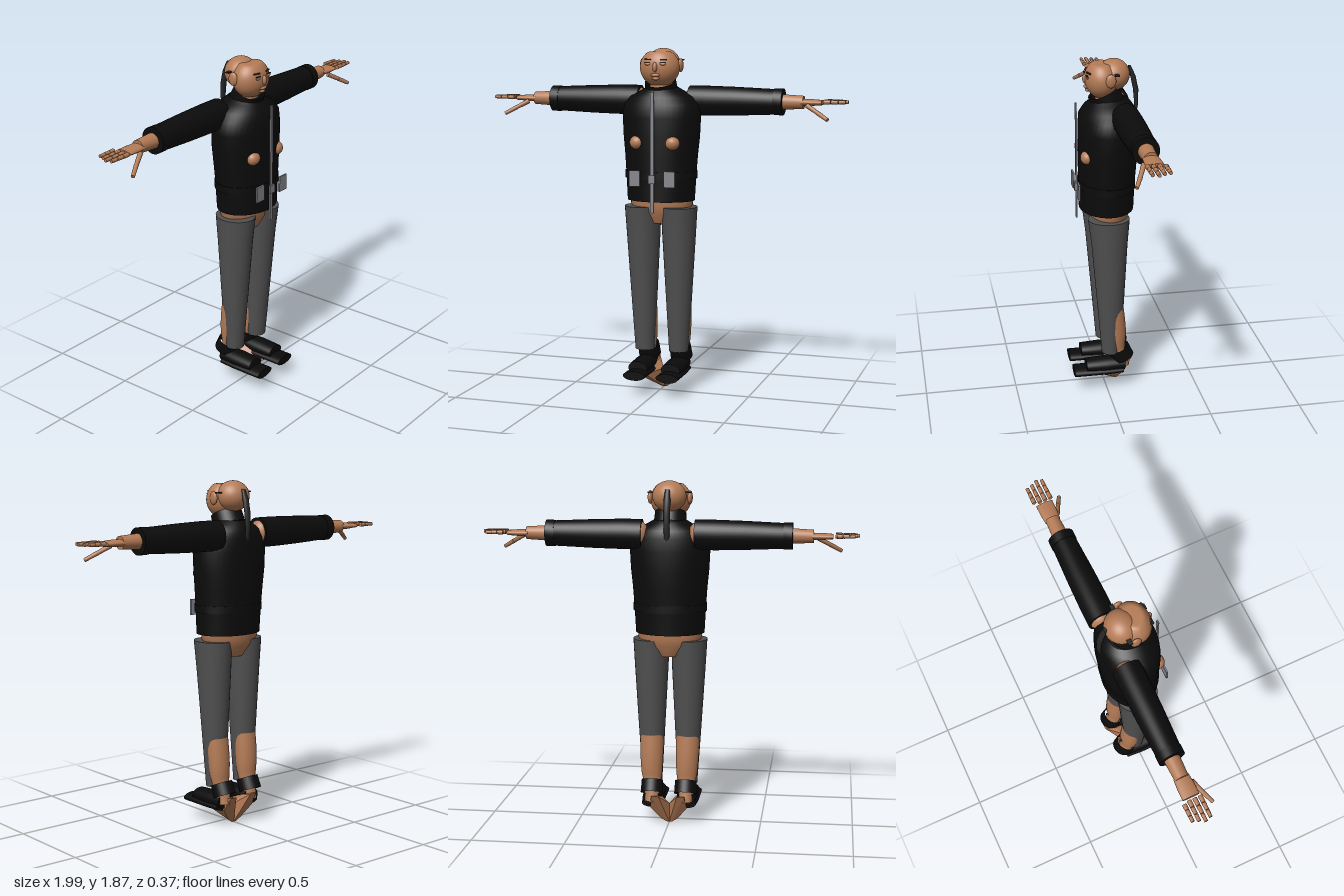
import * as THREE from 'three';
import { ConvexGeometry } from 'three/addons/geometries/ConvexGeometry.js';

const material = (name, color) => {
  const m = new THREE.MeshStandardMaterial({ color, side: THREE.DoubleSide });
  m.name = name;
  return m;
};

export function createModel() {
  const skin = material('skin', 0xb47b56);
  const black = material('black cloth', 0x0b0b0b);
  const grey = material('grey trousers', 0x505050);
  const metal = material('metal', 0x85858c);
  const hair = material('dark hair', 0x262626);
  const root = new THREE.Group();

  const add = (name, geo, mat, x = 0, y = 0, z = 0, parent = root) => {
    const mesh = new THREE.Mesh(geo, mat);
    mesh.name = name;
    mesh.position.set(x, y, z);
    parent.add(mesh);
    return mesh;
  };

  // Smooth stack of ellipses along y; each section is [y, x, z, rx, rz]
  const loft = (sections, sides = 32) => {
    const pos = [], idx = [];
    const ring = ([y, x, z, rx, rz]) => {
      for (let i = 0; i < sides; i++) {
        const a = (i / sides) * Math.PI * 2;
        pos.push(x + Math.sin(a) * rx, y, z + Math.cos(a) * rz);
      }
    };
    sections.forEach(ring);
    for (let j = 0; j < sections.length - 1; j++) {
      for (let i = 0; i < sides; i++) {
        const a = j * sides + i, b = j * sides + ((i + 1) % sides);
        idx.push(a, b, b + sides, a, b + sides, a + sides);
      }
    }
    // Flat end caps with their own vertices
    [sections[0], sections[sections.length - 1]].forEach((s, end) => {
      const start = pos.length / 3;
      ring(s);
      for (let i = 1; i < sides - 1; i++) {
        if (end) idx.push(start, start + i, start + i + 1);
        else idx.push(start, start + i + 1, start + i);
      }
    });
    const g = new THREE.BufferGeometry();
    g.setAttribute('position', new THREE.Float32BufferAttribute(pos, 3));
    g.setIndex(idx);
    g.computeVertexNormals();
    return g;
  };

  const ball = (rx, ry, rz) => new THREE.SphereGeometry(1, 28, 20).scale(rx, ry, rz);
  const box = (w, h, d) => new THREE.BoxGeometry(w, h, d);

  // Straight round rod between two points
  const rod = (name, a, b, r1, r2, mat) => {
    const p = new THREE.Vector3(...a), q = new THREE.Vector3(...b);
    const mid = p.clone().add(q).multiplyScalar(0.5);
    const mesh = add(name, new THREE.CylinderGeometry(r2, r1, p.distanceTo(q), 12), mat, mid.x, mid.y, mid.z);
    mesh.quaternion.setFromUnitVectors(new THREE.Vector3(0, 1, 0), q.sub(p).normalize());
  };

  // Jacket, collar and waist
  add('jacket', loft([
    [1.055, 0, -0.015, 0.185, 0.145], [1.2, 0, -0.017, 0.193, 0.149],
    [1.3, 0, -0.02, 0.2, 0.154], [1.4, 0, -0.023, 0.21, 0.157],
    [1.5, 0, -0.023, 0.215, 0.157], [1.57, 0, -0.023, 0.206, 0.152],
    [1.61, 0, -0.03, 0.175, 0.134], [1.64, 0, -0.033, 0.12, 0.11],
    [1.66, 0, -0.03, 0.085, 0.09],
  ], 40), black);
  const collar = add('collar', new THREE.CylinderGeometry(0.083, 0.088, 0.07, 32, 1, true), black, 0, 1.662, -0.012);
  collar.rotation.x = 0.4;
  add('neck', new THREE.CylinderGeometry(0.06, 0.065, 0.1, 24), skin, 0, 1.67, -0.02);
  add('belt', loft([[1.175, 0, -0.017, 0.198, 0.152], [1.215, 0, -0.017, 0.198, 0.152]], 40), black);
  add('hips', loft([
    [0.93, 0, -0.025, 0.08, 0.07], [0.99, 0, -0.025, 0.15, 0.1], [1.03, 0, -0.026, 0.172, 0.108], [1.07, 0, -0.026, 0.175, 0.11],
  ]), skin);

  // Zip, buckle and belt plates
  add('zip', box(0.018, 0.64, 0.008), metal, 0, 1.32, 0.145);
  add('buckle', box(0.036, 0.045, 0.012), metal, 0, 1.18, 0.151);

  // Head: face with a flattened crown, plus a round skull behind
  const face = new THREE.SphereGeometry(1, 36, 28).scale(0.108, 0.102, 0.088);
  const fp = face.attributes.position;
  for (let i = 0; i < fp.count; i++) fp.setY(i, THREE.MathUtils.clamp(fp.getY(i), -0.092, 0.083));
  face.computeVertexNormals();
  add('face', face, skin, 0, 1.765, 0.01);
  add('skull', ball(0.09, 0.082, 0.084), skin, 0, 1.785, -0.055);
  add('nose', ball(0.013, 0.026, 0.014), skin, 0, 1.768, 0.096);
  add('upperLip', ball(0.026, 0.009, 0.012), skin, 0, 1.726, 0.09);
  add('lowerLip', ball(0.021, 0.009, 0.013), skin, 0, 1.708, 0.083);

  // Ponytail
  add('ponytail', loft([
    [1.55, 0, -0.168, 0.012, 0.006], [1.62, 0, -0.176, 0.016, 0.01],
    [1.7, 0, -0.172, 0.018, 0.014], [1.77, 0, -0.157, 0.018, 0.014], [1.825, 0, -0.138, 0.012, 0.008],
  ], 16), hair);

  for (const s of [1, -1]) {
    const side = s > 0 ? 'left' : 'right';

    // Facial features
    add(side + 'Ear', ball(0.014, 0.036, 0.027), skin, s * 0.106, 1.777, -0.022);
    add(side + 'Eye', ball(0.017, 0.008, 0.006), skin, s * 0.042, 1.785, 0.091);
    add(side + 'EyeLid', box(0.03, 0.005, 0.008), hair, s * 0.042, 1.793, 0.092);
    const brow = add(side + 'Brow', box(0.038, 0.007, 0.008), hair, s * 0.044, 1.808, 0.084);
    brow.rotation.y = s * 0.35;
    add(side + 'TempleHair', box(0.03, 0.006, 0.022), hair, s * 0.1, 1.805, -0.055);

    // Chest patches and belt plates
    add(side + 'ChestPatch', ball(0.04, 0.037, 0.036), skin, s * 0.098, 1.37, 0.102);
    add(side + 'BeltPlate', box(0.06, 0.085, 0.01), metal, s * 0.097, 1.182, 0.148);

    // Sleeve, forearm and palm, laid out along the arm
    const arm = new THREE.Group();
    arm.name = side + 'Arm';
    arm.position.set(0, 1.587, -0.09);
    arm.rotation.z = -s * Math.PI / 2;
    root.add(arm);
    add('shoulder', ball(0.068, 0.05, 0.06), skin, 0, 0.155, -0.005, arm);
    add('sleeve', loft([
      [0.14, 0, 0, 0.08, 0.076], [0.25, 0, 0, 0.08, 0.076], [0.4, 0, 0, 0.076, 0.073], [0.61, 0, 0, 0.067, 0.065],
    ]), black, 0, 0, 0, arm);
    add('cuff', loft([[0.605, 0, 0, 0.07, 0.068], [0.652, 0, 0, 0.07, 0.068]]), black, 0, 0, 0, arm);
    add('forearm', loft([[0.6, 0, 0, 0.043, 0.043], [0.76, 0, 0, 0.034, 0.036]]), skin, 0, 0, 0, arm);
    add('palm', loft([[0.75, 0, 0, 0.018, 0.04], [0.8, 0, 0, 0.018, 0.044], [0.86, 0, 0, 0.013, 0.045]]), skin, 0, 0, 0, arm);

    // Fingers in three joints each, then the thumb
    [0.975, 0.985, 1, 0.99].forEach((tip, f) => {
      const z = -0.136 + f * 0.029, start = 0.872 + (f === 0 ? 0.008 : 0), step = (tip - start) / 3;
      for (let j = 0; j < 3; j++) {
        rod(side + 'Finger', [s * (start + j * step), 1.592, z], [s * (start + (j + 0.93) * step), 1.592, z], 0.012 - j * 0.001, 0.011 - j * 0.001, skin);
      }
    });
    rod(side + 'ThumbBase', [s * 0.785, 1.572, -0.05], [s * 0.85, 1.535, -0.02], 0.013, 0.011, skin);
    rod(side + 'ThumbTip', [s * 0.848, 1.536, -0.021], [s * 0.905, 1.503, 0.008], 0.012, 0.01, skin);

    // Trouser leg with the calf showing behind
    add(side + 'TrouserLeg', loft([
      [0.22, s * 0.097, -0.024, 0.053, 0.049], [0.5, s * 0.099, -0.023, 0.07, 0.072],
      [0.87, s * 0.101, -0.016, 0.091, 0.097], [1.02, s * 0.1025, -0.012, 0.098, 0.112],
    ]), grey);
    add(side + 'Calf', loft([
      [0.13, s * 0.092, -0.09, 0.038, 0.04], [0.22, s * 0.094, -0.065, 0.045, 0.038],
      [0.28, s * 0.096, -0.058, 0.057, 0.048], [0.34, s * 0.097, -0.053, 0.061, 0.057],
      [0.42, s * 0.098, -0.045, 0.064, 0.058], [0.53, s * 0.099, -0.03, 0.064, 0.06],
    ]), skin);

    // Bare foot pointing down and inward beneath the shoe
    const foot = [
      [0.1, 0.1, 0.09], [0.06, 0.1, 0.085], [0.09, 0.085, 0.02], [0.1, 0.09, -0.1], [0.045, 0.022, -0.07],
      [0.015, 0.002, -0.065], [0, 0, -0.064], [0, 0.105, -0.06], [0.035, 0.15, -0.08], [0.05, 0.165, -0.145], [0.09, 0.17, -0.148],
    ];
    add(side + 'Foot', new ConvexGeometry(foot.map(([x, y, z]) => new THREE.Vector3(s * x, y, z))), skin);

    // Shoe: flat toe, upper and tilted ankle cuff
    const toe = add(side + 'ShoeToe', loft([[-0.09, 0, 0, 0.056, 0.022], [0, 0, 0, 0.062, 0.025], [0.182, 0, 0, 0.062, 0.025]]), black, s * 0.093, 0.112, 0);
    toe.rotation.x = Math.PI / 2;
    const upper = add(side + 'ShoeUpper', loft([[-0.1, 0, 0, 0.05, 0.04], [0, 0, 0, 0.058, 0.042], [0.115, 0, 0, 0.054, 0.034]]), black, s * 0.093, 0.142, 0);
    upper.rotation.x = Math.PI / 2;
    const cuff = add(side + 'ShoeCuff', new THREE.CylinderGeometry(0.059, 0.061, 0.07, 28, 1, true), black, s * 0.092, 0.206, -0.083);
    cuff.rotation.x = 0.42;
  }
  return root;
}
